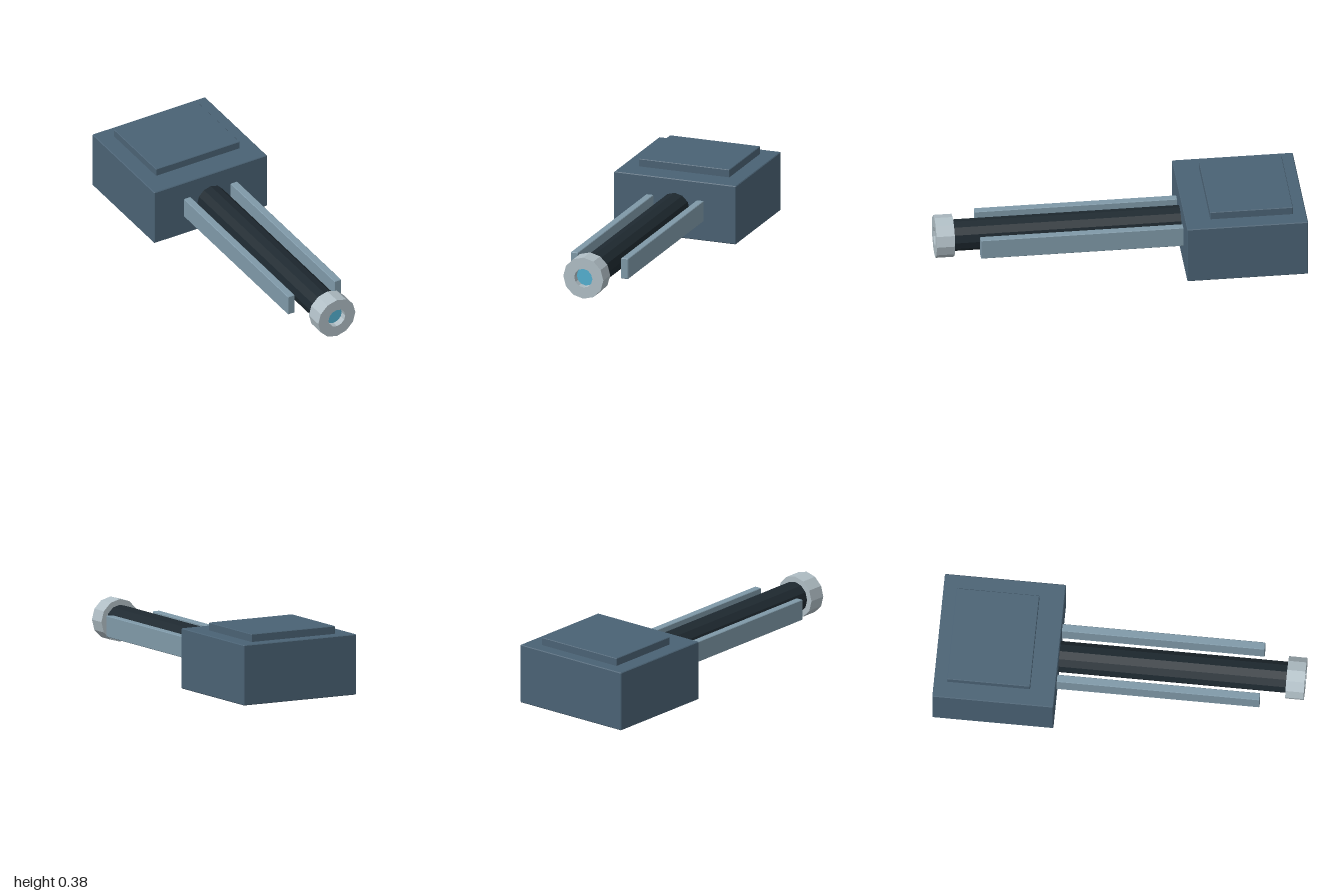
import * as THREE from 'three';
import { ConvexGeometry } from 'three/addons/geometries/ConvexGeometry.js';

const AXIS_Y = 0.167;

function material(name, color) {
  const m = new THREE.MeshStandardMaterial({ color });
  m.name = name;
  return m;
}

// Box with narrow chamfered edges, given by its min and max corners
function chamferBox(min, max, bevel) {
  const c = min.map((v, i) => (v + max[i]) / 2);
  const h = min.map((v, i) => (max[i] - v) / 2);
  const points = [];
  for (const sx of [-1, 1]) for (const sy of [-1, 1]) for (const sz of [-1, 1]) {
    const s = [sx, sy, sz];
    for (let full = 0; full < 3; full++) {
      points.push(new THREE.Vector3(...s.map((v, i) => c[i] + v * (h[i] - (i === full ? 0 : bevel)))));
    }
  }
  return new ConvexGeometry(points);
}

// Twelve-sided faceted solid turned around the z axis; profile is [radius, z]
function turned(profile) {
  const geo = new THREE.LatheGeometry(profile.map(([r, z]) => new THREE.Vector2(r, z)), 12);
  geo.rotateX(Math.PI / 2);
  geo.translate(0, AXIS_Y, 0);
  const flat = geo.toNonIndexed();
  flat.computeVertexNormals();
  return flat;
}

export function createModel() {
  const group = new THREE.Group();
  group.name = 'barrelAssembly';
  const housingMat = material('slate blue', 0x4a6274);
  const railMat = material('steel blue', 0x7f99a8);
  const barrelMat = material('near black', 0x1e2930);
  const muzzleMat = material('pale grey', 0xb0bec5);
  const lensMat = material('cyan', 0x54b0d0);

  const add = (name, geometry, mat) => {
    const mesh = new THREE.Mesh(geometry, mat);
    mesh.name = name;
    group.add(mesh);
  };

  // Rear housing and its raised lid
  add('housing', chamferBox([-0.356, 0, -1], [0.356, 0.332, -0.34], 0.004), housingMat);
  add('housingLid', chamferBox([-0.264, 0.325, -0.928], [0.264, 0.375, -0.476], 0.003), housingMat);

  // Barrel
  add('barrel', turned([[0, -0.36], [0.086, -0.36], [0.086, 0.91], [0, 0.91]]), barrelMat);

  // Muzzle ring with a bore, and the lens set back inside it
  add('muzzle', turned([[0.053, 0.9], [0.117, 0.9], [0.117, 1], [0.053, 1], [0.053, 0.9]]), muzzleMat);
  add('lens', turned([[0.053, 0.955], [0.053, 0.963], [0, 0.963]]), lensMat);

  // Side rails
  for (const [name, x] of [['leftRail', 0.147], ['rightRail', -0.147]]) {
    add(name, chamferBox([x - 0.021, 0.11, -0.36], [x + 0.021, 0.226, 0.765], 0.003), railMat);
  }
  return group;
}
